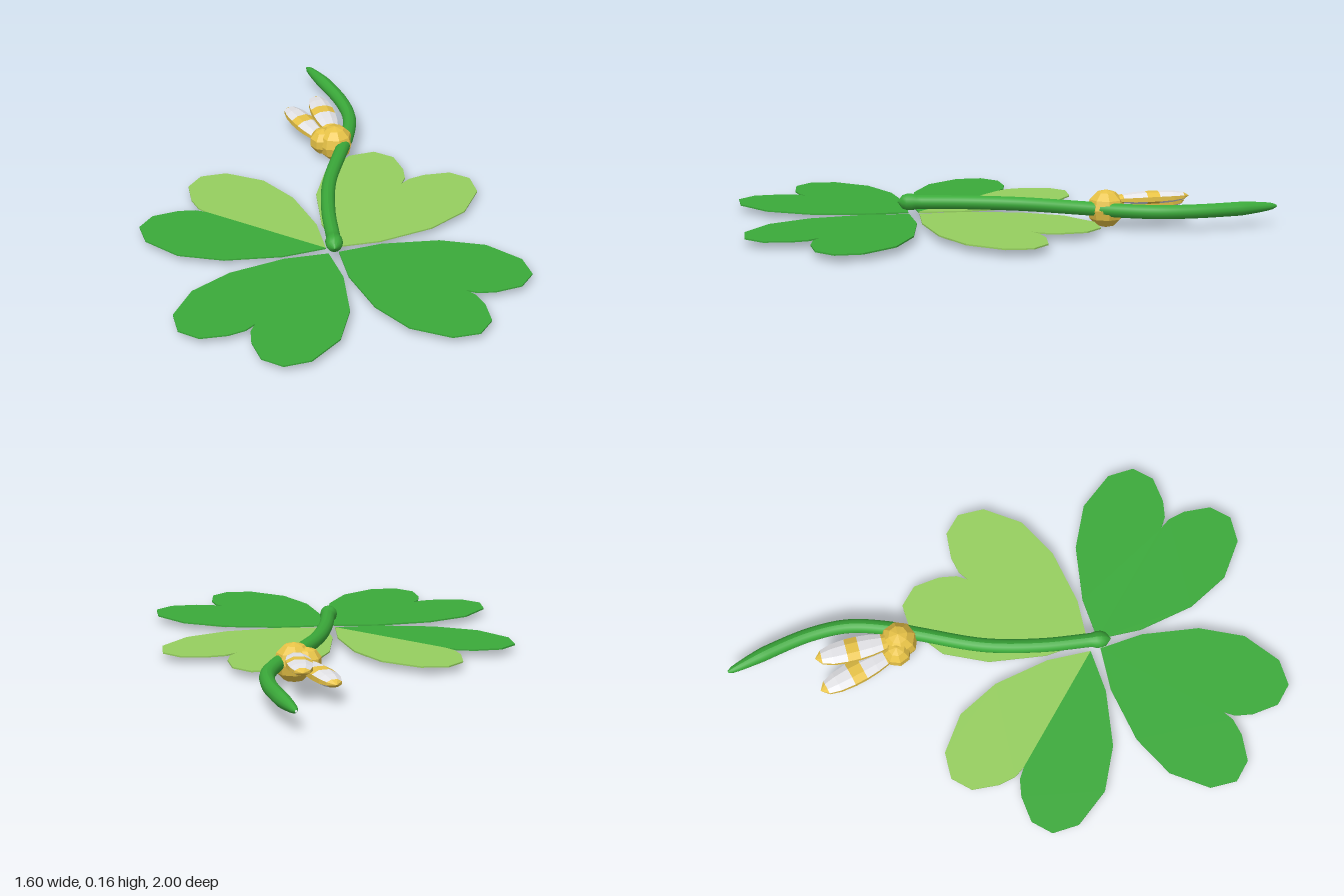
import * as THREE from 'three';

const mat = (name, color, flatShading = false) => {
  const m = new THREE.MeshStandardMaterial({ color, flatShading });
  m.name = name;
  return m;
};

// Half outlines: distance from the leaf centre, sideways offset
const LEAF = [[0.03, 0], [0.15, 0.135], [0.34, 0.27], [0.52, 0.33], [0.69, 0.305],
  [0.77, 0.23], [0.77, 0.135], [0.7, 0.05], [0.64, 0.01], [0.59, 0]];
const BAND = [[0.4, 0], [0.48, 0.08], [0.5, 0.15], [0.45, 0.22], [0.34, 0.265],
  [0.42, 0.295], [0.52, 0.26], [0.58, 0.17], [0.56, 0.07], [0.48, 0]];

// Thin plate from a half outline; side 0 gives both halves
function plate(outline, side, depth) {
  const half = s => outline.map(([u, v]) => new THREE.Vector2(u, v * s));
  const shapes = (side ? [side] : [-1, 1]).map(s => new THREE.Shape(half(s)));
  return new THREE.ExtrudeGeometry(shapes, { depth, bevelEnabled: false }).rotateX(-Math.PI / 2);
}

// Tube along a curve whose radius follows a rule
function taperedTube(points, rings, sides, radiusAt) {
  const curve = new THREE.CatmullRomCurve3(points);
  const geo = new THREE.TubeGeometry(curve, rings, 1, sides);
  const pos = geo.attributes.position;
  const p = new THREE.Vector3();
  for (let i = 0; i < pos.count; i++) {
    const t = Math.floor(i / (sides + 1)) / rings;
    const c = curve.getPointAt(t);
    p.fromBufferAttribute(pos, i).sub(c).multiplyScalar(radiusAt(t)).add(c);
    pos.setXYZ(i, p.x, p.y, p.z);
  }
  geo.computeVertexNormals();
  return geo;
}

// Long flattened pod: gold rim, with silver panels above and below
function stripedPod(name, from, to, width, height, gold, silver) {
  const pod = new THREE.Group();
  pod.name = name;
  const profile = [[0.45, 0], [0.72, 0.14], [0.9, 0.28], [1, 0.44], [1, 0.6],
    [0.88, 0.78], [0.6, 0.92], [0, 1]];
  const dir = to.clone().sub(from);
  const length = dir.length();
  dir.normalize();
  const cuts = [0, 1, 3, 4, 6, 7];
  const step = Math.PI / 8;
  for (let i = 0; i < cuts.length - 1; i++) {
    const pts = profile.slice(cuts[i], cuts[i + 1] + 1)
      .map(([r, y]) => new THREE.Vector2(r * width / 2, y * length));
    const strip = (label, material, start, steps) => {
      const geo = new THREE.LatheGeometry(pts, steps / 2, start * step, steps * step);
      const mesh = new THREE.Mesh(geo.scale(1, 1, height / width), material);
      mesh.name = label;
      pod.add(mesh);
    };
    for (const turn of [0, 8]) {
      strip('podPanel', i % 2 ? silver : gold, turn - 3, 6);
      strip('podRim', gold, turn + 3, 2);
    }
  }
  const side = dir.clone().cross(new THREE.Vector3(0, 1, 0)).normalize();
  pod.quaternion.setFromRotationMatrix(
    new THREE.Matrix4().makeBasis(side, dir, side.clone().cross(dir)));
  pod.position.copy(from);
  return pod;
}

export function createModel() {
  const group = new THREE.Group();
  group.name = 'clover';
  const green = mat('leafGreen', 0x3baa3a);
  const light = mat('lightGreen', 0x96cf5f);
  const sage = mat('sageBand', 0x9fb08a);
  const gold = mat('gold', 0xeac548, true);
  const silver = mat('silver', 0xeeeef2, true);

  const add = (name, geo, material, x, y, z) => {
    const mesh = new THREE.Mesh(geo, material);
    mesh.name = name;
    mesh.position.set(x, y, z);
    group.add(mesh);
    return mesh;
  };

  // Four heart leaves, one of them in two colours
  const leaves = [['leftLeaf', 0, 0, green], ['backLeaf', 1, 0, light],
    ['rightLeafBackHalf', 2, -1, light], ['rightLeafFrontHalf', 2, 1, green],
    ['frontLeaf', 3, 0, green]];
  for (const [name, turn, side, material] of leaves) {
    add(name, plate(LEAF, side, 0.006), material, 0.03, 0.029, 0.23).rotation.y = turn * Math.PI / 2;
  }

  // Pale bands on the undersides
  for (const [name, turn, side] of [['leftLeafBand', 0, 1], ['backLeafBand', 1, 0], ['rightLeafBand', 2, 0]]) {
    add(name, plate(BAND, side, 0.003), sage, 0.03, 0.027, 0.23).rotation.y = turn * Math.PI / 2;
  }

  // Curved stem with a knob at the centre and a pointed far end
  const path = [[0.072, 0.283], [0.03, 0.22], [-0.09, 0.05], [-0.2, -0.15], [-0.285, -0.4],
    [-0.33, -0.54], [-0.4, -0.68], [-0.5, -0.79], [-0.63, -0.89], [-0.8, -1]]
    .map(([x, z]) => new THREE.Vector3(x, 0.082, z));
  const stemRadius = t => {
    if (t === 0) return 0.001;
    if (t < 0.015) return 0.028;
    if (t < 0.05) return 0.035;
    if (t > 0.9) return 0.005 + 0.024 * Math.sqrt((1 - t) / 0.1);
    return 0.029;
  };
  add('stem', taperedTube(path, 80, 12, stemRadius), green, 0, 0, 0);

  // Faceted gold knot wrapped round the stem
  add('knot', new THREE.SphereGeometry(0.078, 8, 6), gold, -0.35, 0.079, -0.465);
  add('smallKnot', new THREE.SphereGeometry(0.058, 8, 5), gold, -0.398, 0.084, -0.445);

  // Two striped pods
  group.add(stripedPod('upperPod', new THREE.Vector3(-0.37, 0.115, -0.48),
    new THREE.Vector3(-0.593, 0.124, -0.71), 0.105, 0.05, gold, silver));
  group.add(stripedPod('lowerPod', new THREE.Vector3(-0.4, 0.08, -0.455),
    new THREE.Vector3(-0.688, 0.08, -0.632), 0.105, 0.055, gold, silver));
  return group;
}
